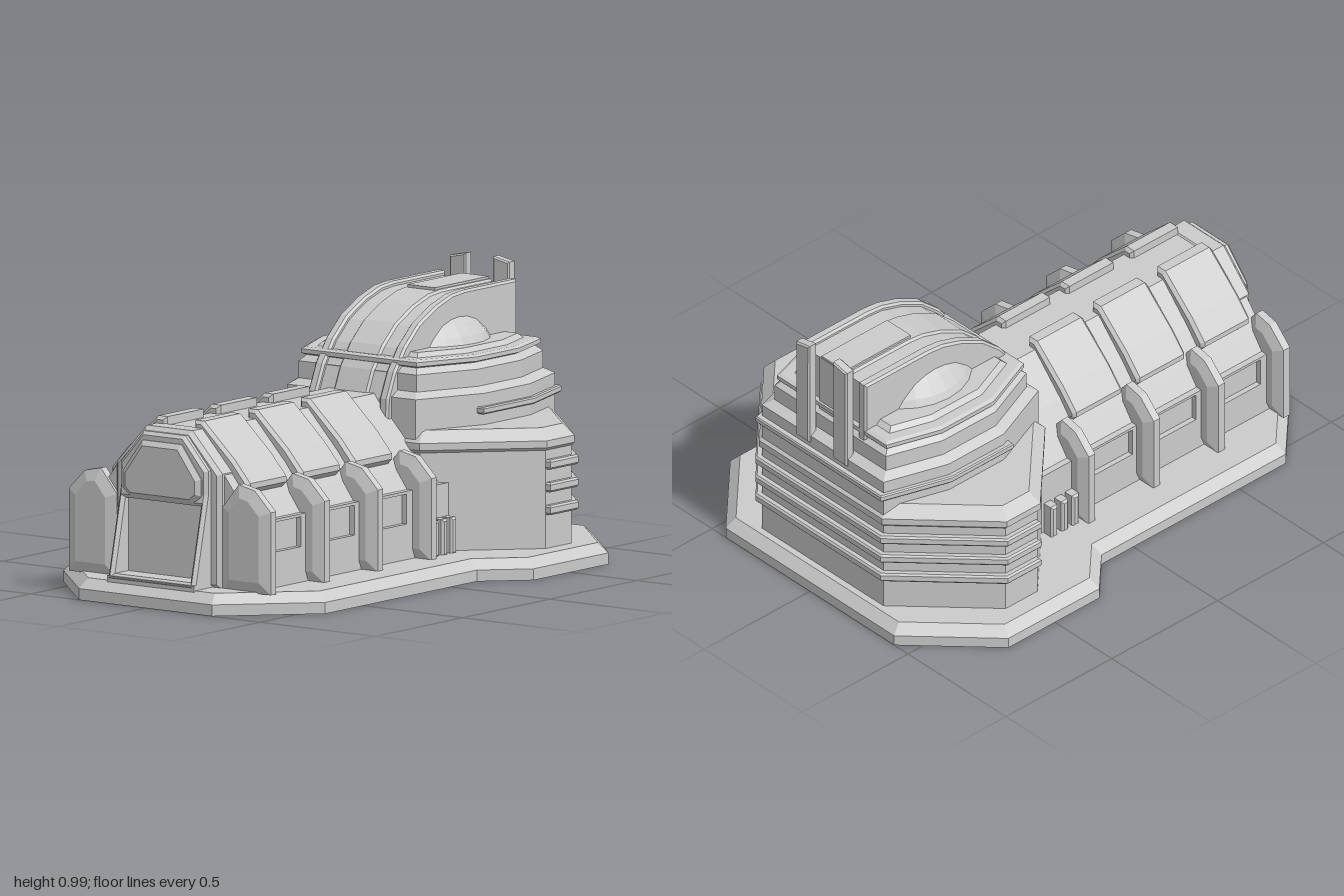
import * as THREE from 'three';

const material = new THREE.MeshStandardMaterial({ color: 0xcccccc, flatShading: true, side: THREE.DoubleSide });

function add(parent, name, geometry) {
  const mesh = new THREE.Mesh(geometry, material);
  mesh.name = name;
  parent.add(mesh);
  return mesh;
}

const vectors = (pts) => pts.map(([x, y]) => new THREE.Vector2(x, y));

// Complete a symmetric outline from its +x half
const mirror = (half) => [...half, ...[...half].reverse().map(([x, y]) => [-x, y])];

// Move every edge of a counter-clockwise outline inwards by d
function inset(pts, d) {
  const n = pts.length;
  return pts.map((p, i) => {
    const a = pts[(i + n - 1) % n], b = pts[(i + 1) % n];
    const normal = (s, e) => {
      const l = Math.hypot(e[0] - s[0], e[1] - s[1]);
      return [-(e[1] - s[1]) / l, (e[0] - s[0]) / l];
    };
    const m = normal(a, p), k = normal(p, b);
    const f = d / (1 + m[0] * k[0] + m[1] * k[1]);
    return [p[0] + (m[0] + k[0]) * f, p[1] + (m[1] + k[1]) * f];
  });
}

// Stack an (x, z) outline through [height, inset] levels and cap both ends
function tiers(outline, levels) {
  const n = outline.length, pos = [], idx = [];
  for (const [y, d] of levels) for (const [x, z] of inset(outline, d)) pos.push(x, y, z);
  for (let l = 0; l < levels.length - 1; l++) {
    for (let i = 0; i < n; i++) {
      const a = l * n + i, b = l * n + (i + 1) % n;
      idx.push(a, b + n, b, a, a + n, b + n);
    }
  }
  const top = (levels.length - 1) * n;
  for (const [a, b, c] of THREE.ShapeUtils.triangulateShape(vectors(outline), [])) {
    idx.push(a, b, c, top + a, top + c, top + b);
  }
  const g = new THREE.BufferGeometry();
  g.setAttribute('position', new THREE.Float32BufferAttribute(pos, 3));
  g.setIndex(idx);
  const flat = g.toNonIndexed();
  flat.computeVertexNormals();
  return flat;
}

// Extrude an (x, y) outline from z0 to z1, with an optional chamfer
function prism(pts, z0, z1, chamfer = 0, depth = chamfer, holes = []) {
  const shape = new THREE.Shape(vectors(pts));
  for (const h of holes) shape.holes.push(new THREE.Path(vectors(h)));
  const g = new THREE.ExtrudeGeometry(shape, {
    depth: z1 - z0 - 2 * depth, bevelEnabled: chamfer > 0, bevelSegments: 1,
    bevelSize: chamfer, bevelOffset: -chamfer, bevelThickness: depth,
  });
  return g.translate(0, 0, z0 + depth);
}

// Extrude a (z, y) outline across x0..x1
const crossPrism = (pts, x0, x1, chamfer = 0, holes = []) =>
  prism(pts, -x1, -x0, chamfer, chamfer, holes).rotateY(-Math.PI / 2);

const rect = (a0, b0, a1, b1) => [[a0, b0], [a1, b0], [a1, b1], [a0, b1]];

function createModel() {
  const model = new THREE.Group();
  model.name = 'building';

  // Plinth
  const plinth = mirror([[0.43, -1], [0.71, -0.72], [0.71, -0.29], [0.57, -0.15], [0.57, 0.72], [0.29, 1]]);
  add(model, 'plinth', tiers(plinth, [[0, 0], [0.04, 0], [0.075, 0.035]]));

  // Rear block with overhanging roof edge and wrapped fins
  const rear = new THREE.Group();
  rear.name = 'rearBlock';
  model.add(rear);
  const block = mirror([[0.31, -0.94], [0.61, -0.64], [0.61, -0.49], [0.3, -0.18]]);
  add(rear, 'blockWalls', tiers(block, [[0.07, 0], [0.43, 0]]));
  add(rear, 'blockRoof', tiers(block, [[0.42, 0], [0.43, -0.01], [0.455, -0.01], [0.495, 0.03]]));
  const finPlan = mirror([[0.32, -0.962], [0.632, -0.65], [0.632, -0.49]]);
  for (const y of [0.21, 0.29, 0.37]) {
    add(rear, 'blockFin', tiers(finPlan, [[y - 0.017, 0.006], [y - 0.01, 0], [y + 0.01, 0], [y + 0.017, 0.006]]));
  }

  // Stepped drum carrying the dome
  const drum = mirror([[0.31, -0.94], [0.385, -0.7], [0.385, -0.44], [0.28, -0.18]]);
  add(rear, 'drum', tiers(drum, [[0.45, 0], [0.605, 0], [0.625, 0.035], [0.685, 0.035], [0.71, 0.065], [0.75, 0.11]]));
  add(rear, 'drumLedge', tiers(drum, [[0.705, 0.06], [0.712, 0.042], [0.727, 0.042], [0.734, 0.055]]));
  const drumFin = mirror([[0.32, -0.962], [0.403, -0.7], [0.403, -0.41]]);
  add(rear, 'drumFin', tiers(drumFin, [[0.535, 0.004], [0.54, 0], [0.555, 0], [0.56, 0.004]]));
  const dome = new THREE.SphereGeometry(0.28, 24, 8, 0, Math.PI * 2, 0, Math.PI / 2);
  add(rear, 'dome', dome.translate(0, 0.62, -0.57));

  // Arched band over the dome: two rails and a slightly sunken crowned middle
  const arch = [[-0.3, 0.5], [-0.155, 0.52], [-0.16, 0.6], [-0.2, 0.69], [-0.26, 0.77], [-0.34, 0.84],
    [-0.44, 0.89], [-0.53, 0.918], [-0.6, 0.925], [-0.9, 0.925], [-0.9, 0.55]];
  const archInner = inset(arch, 0.016);
  add(rear, 'bandMiddle', crossPrism(archInner, -0.15, 0.15));
  add(rear, 'bandCrown', crossPrism(inset(arch, 0.008), -0.075, 0.075, 0.008));
  add(rear, 'bandTopPanel', new THREE.BoxGeometry(0.12, 0.02, 0.31).translate(0, 0.915, -0.735));
  for (const s of [-1, 1]) {
    add(rear, 'bandRail', crossPrism(arch, s * 0.155 - 0.02, s * 0.155 + 0.02, 0.008));
    // Rear posts with sloping tops
    const post = [[s * 0.06, 0.58], [s * 0.13, 0.58], [s * 0.13, 0.978], [s * 0.06, 0.992]];
    add(rear, 'rearPost', prism(s > 0 ? post : post.reverse(), -0.95, -0.91, 0.006));
  }

  // Nave with side aisles
  const nave = new THREE.Group();
  nave.name = 'nave';
  model.add(nave);
  add(nave, 'naveBody', prism(mirror([[0.35, 0.07], [0.35, 0.31], [0.3, 0.38], [0.23, 0.47], [0.1, 0.61]]), -0.25, 0.85));

  const bays = [0.085, 0.385, 0.69];
  const windows = bays.map((z) => rect(z - 0.095, 0.2, z + 0.095, 0.305));
  const dormer = [[0.06, 0.55], [0.2, 0.4], [0.27, 0.39], [0.3, 0.42], [0.3, 0.44], [0.235, 0.515], [0.1, 0.64], [0.06, 0.64]];
  const buttress = [[0.23, 0.07], [0.44, 0.07], [0.44, 0.36], [0.37, 0.43], [0.3, 0.445], [0.23, 0.36]];
  for (const s of [1, -1]) {
    const side = new THREE.Group();
    side.name = s > 0 ? 'leftAisle' : 'rightAisle';
    nave.add(side);
    const flip = (pts) => (s > 0 ? pts : pts.map(([x, y]) => [-x, y]).reverse());

    // Outer wall with window openings
    const x0 = s > 0 ? 0.345 : -0.37;
    add(side, 'aisleWall', crossPrism(rect(-0.25, 0.07, 0.85, 0.315), x0, x0 + 0.025, 0, windows));
    // Roof dormers
    for (const z of bays) add(side, 'dormer', prism(flip(dormer), z - 0.115, z + 0.115, 0.012));
    // Chamfered buttresses between the bays
    for (const z of [-0.075, 0.232, 0.537, 0.845]) {
      add(side, 'buttress', prism(flip(buttress), z - 0.032, z + 0.032, 0.04, 0.017));
    }
    // Short ribs where the nave meets the rear block
    for (const z of [-0.125, -0.175, -0.225]) {
      add(side, 'rib', crossPrism(rect(z - 0.016, 0.07, z + 0.016, 0.2), s * 0.39 - 0.025, s * 0.39 + 0.025, 0.008));
    }
  }

  // Flared entrance portal
  const portal = new THREE.Group();
  portal.name = 'portal';
  model.add(portal);
  add(portal, 'portalSurround', prism(mirror([[0.23, 0.07], [0.23, 0.475], [0.1, 0.615]]), 0.78, 0.875, 0.015));
  const frame = prism(mirror([[0.19, 0.075], [0.19, 0.4], [0.19, 0.485], [0.09, 0.6]]), 0.83, 0.9, 0.012, 0.012,
    [rect(-0.165, 0.1, 0.165, 0.36)]);
  const p = frame.attributes.position;
  for (let i = 0; i < p.count; i++) {
    if (p.getZ(i) > 0.87) p.setZ(i, p.getZ(i) + Math.max(0, 0.4 - p.getY(i)) * 0.23);
  }
  frame.computeVertexNormals();
  add(portal, 'portalFrame', frame);
  add(portal, 'door', new THREE.BoxGeometry(0.34, 0.28, 0.02).translate(0, 0.22, 0.87));
  add(portal, 'doorSill', new THREE.BoxGeometry(0.38, 0.025, 0.1).translate(0, 0.08, 0.92));
  add(portal, 'portalHood', prism(mirror([[0.135, 0.365], [0.17, 0.395], [0.17, 0.455], [0.085, 0.57]]), 0.88, 0.918, 0.018, 0.014));

  return model;
}

export { createModel };
